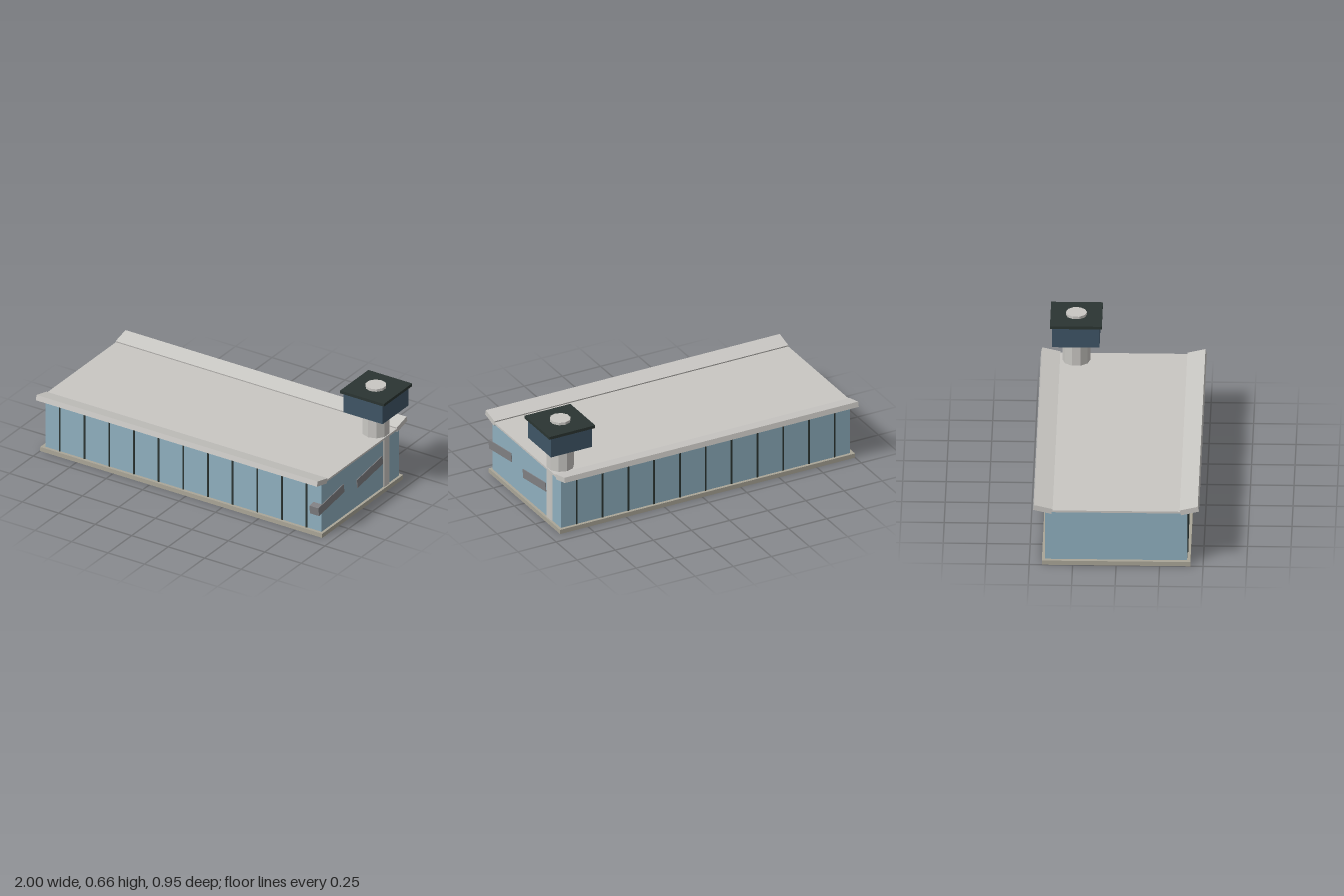
import * as THREE from 'three';

const mat = (name, color) => {
  const m = new THREE.MeshStandardMaterial({ color });
  m.name = name;
  return m;
};

export function createModel() {
  const group = new THREE.Group();
  const concrete = mat('lightConcrete', 0xc9c7c3);
  const stone = mat('baseStone', 0xaaa698);
  const glass = mat('paleGlass', 0x8fafbf);
  const darkGlass = mat('darkGlass', 0x3f5566);
  const dark = mat('darkTrim', 0x2b3532);
  const grey = mat('bridgeGrey', 0x808083);

  const add = (name, geometry, material, x, y, z, tilt = 0) => {
    const mesh = new THREE.Mesh(geometry, material);
    mesh.name = name;
    mesh.position.set(x, y, z);
    mesh.rotation.x = tilt;
    group.add(mesh);
    return mesh;
  };
  // box given by its lower and upper limits on each axis
  const box = (name, material, x0, x1, y0, y1, z0, z1) =>
    add(name, new THREE.BoxGeometry(x1 - x0, y1 - y0, z1 - z0), material,
      (x0 + x1) / 2, (y0 + y1) / 2, (z0 + z1) / 2);
  // ten-sided column with flat faces
  const column = (name, radius, y0, y1, x, z) => {
    const g = new THREE.CylinderGeometry(radius, radius, y1 - y0, 10).toNonIndexed();
    g.computeVertexNormals();
    return add(name, g, concrete, x, (y0 + y1) / 2, z);
  };

  // main hall
  box('basePlinth', stone, -1, 0.934, 0, 0.027, -0.427, 0.427);
  box('glassHall', glass, -0.977, 0.918, 0.027, 0.341, -0.408, 0.408);
  box('roofSlab', concrete, -0.997, 0.93, 0.341, 0.353, -0.39, 0.39);

  // upturned eaves and window mullions on both long sides
  for (const side of [1, -1]) {
    add('eave', new THREE.BoxGeometry(1.927, 0.032, 0.107), concrete,
      -0.0335, 0.358, side * 0.421, -side * 0.237);
    for (let i = 0; i < 11; i++) {
      add('mullion', new THREE.BoxGeometry(0.01, 0.314, 0.006), dark,
        -0.876 + i * 0.1692, 0.184, side * 0.409);
    }
  }

  // sloping boarding bridges along the end wall
  for (const z of [0.313, -0.095]) {
    add('boardingBridge', new THREE.BoxGeometry(0.062, 0.054, 0.271), grey,
      0.892, 0.192, z, 0.137);
  }

  // control tower
  const tx = 0.848, tz = -0.271;
  column('towerShaft', 0.081, 0.027, 0.503, tx, tz);
  box('towerCabin', darkGlass, tx - 0.135, tx + 0.135, 0.503, 0.628, tz - 0.136, tz + 0.136);
  box('towerRoof', dark, tx - 0.148, tx + 0.152, 0.628, 0.646, tz - 0.149, tz + 0.149);
  column('towerCap', 0.061, 0.646, 0.662, tx, tz);

  return group;
}
